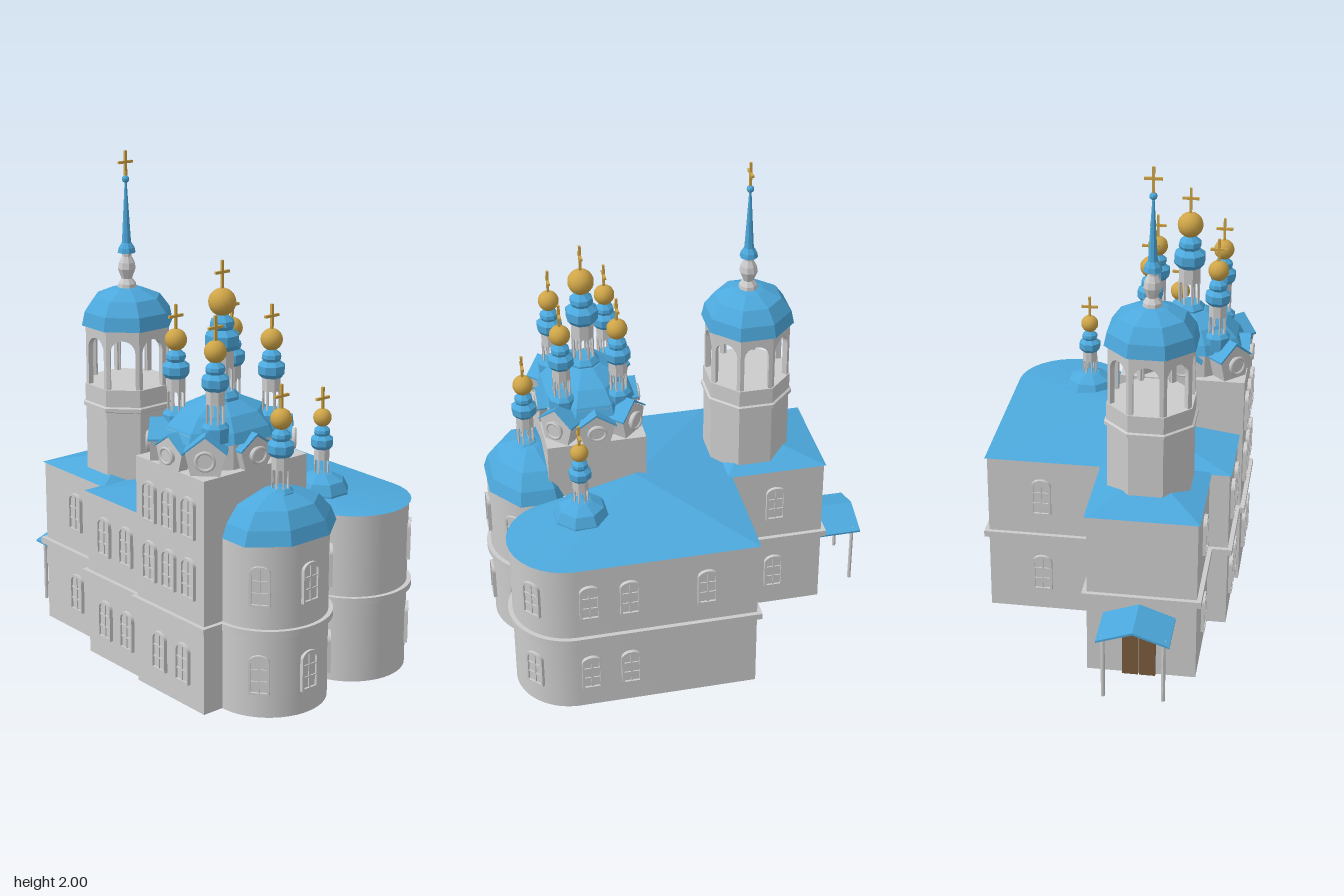
import * as THREE from 'three';
import { mergeGeometries, toCreasedNormals } from 'three/addons/utils/BufferGeometryUtils.js';

const mat = (color, flatShading = true) =>
  new THREE.MeshStandardMaterial({ color, flatShading, side: THREE.DoubleSide });
const STONE = mat(0xcccccc), WALL = mat(0xcccccc, false), BLUE = mat(0x4ca8dc);
const GOLD = mat(0xcfa548, false), BROWN = mat(0x7a5a3c);
const Q = Math.PI / 8;

function add(parent, name, geo, material, x = 0, y = 0, z = 0, ry = 0) {
  const m = new THREE.Mesh(geo, material);
  m.name = name;
  m.position.set(x, y, z);
  m.rotation.y = ry;
  parent.add(m);
  return m;
}

// Eight-sided solid of revolution, flats on the axes; radii are measured to the flats
function octagon(profile) {
  const pts = profile.map(([r, y]) => new THREE.Vector2(r / Math.cos(Q), y));
  return new THREE.LatheGeometry(pts, 8).rotateY(Q);
}

// Footprints, drawn with shape y = -z and grown outwards by o
const rect = (x0, x1, z0, z1) => o => new THREE.Shape([[x0 - o, -z1 - o], [x1 + o, -z1 - o],
  [x1 + o, -z0 + o], [x0 - o, -z0 + o]].map(p => new THREE.Vector2(...p)));
const apsed = (x0, cx, z0, z1) => o => {
  const r = (z1 - z0) / 2 + o, c = -(z0 + z1) / 2, s = new THREE.Shape();
  s.moveTo(x0 - o, c - r).lineTo(cx, c - r);
  s.absarc(cx, c, r, -Math.PI / 2, Math.PI / 2, false);
  s.lineTo(x0 - o, c + r);
  return s;
};
function slab(shape, y, h) {
  const g = new THREE.ExtrudeGeometry(shape, { depth: h, bevelEnabled: false, curveSegments: 24 });
  return toCreasedNormals(g.rotateX(-Math.PI / 2).translate(0, y, 0), 0.5);
}

// Hipped roof: a fan of triangles from the outline [x, z] to one peak
function fanRoof(outline, y, peak) {
  const v = [];
  outline.forEach(([x, z], i) => {
    const [x2, z2] = outline[(i + 1) % outline.length];
    v.push(x, y, z, x2, y, z2, ...peak);
  });
  const g = new THREE.BufferGeometry();
  g.setAttribute('position', new THREE.Float32BufferAttribute(v, 3));
  g.computeVertexNormals();
  return g;
}

function arch(w, h, rise, y0 = 0) {
  const s = new THREE.Shape();
  s.moveTo(-w / 2, y0).lineTo(w / 2, y0).lineTo(w / 2, h - rise);
  s.absellipse(0, h - rise, w / 2, rise, 0, Math.PI, false, 0);
  s.closePath();
  return s;
}

// Arched window with frame, one mullion and two transoms, facing +z
function windowGeometry() {
  const frame = arch(0.08, 0.16, 0.03);
  frame.holes.push(arch(0.062, 0.151, 0.024, 0.009));
  const bar = (w, h, y) => new THREE.BoxGeometry(w, h, 0.014).toNonIndexed().translate(0, y, 0.007);
  return mergeGeometries([
    new THREE.ExtrudeGeometry(frame, { depth: 0.018, bevelEnabled: false, curveSegments: 8 }),
    new THREE.ExtrudeGeometry(arch(0.064, 0.152, 0.025), { depth: 0.009, bevelEnabled: false, curveSegments: 8 }),
    bar(0.007, 0.145, 0.078), bar(0.062, 0.006, 0.052), bar(0.062, 0.006, 0.1)]);
}

// Ring of eight open arches
function arcade(ap, h, openW, openH, t) {
  const w = 2 * ap * Math.tan(Q), a = w * openW / 2, s = new THREE.Shape();
  s.moveTo(-w / 2, 0).lineTo(-a, 0).lineTo(-a, openH - a);
  s.absellipse(0, openH - a, a, a, Math.PI, 0, true, 0);
  s.lineTo(a, 0).lineTo(w / 2, 0).lineTo(w / 2, h).lineTo(-w / 2, h);
  const panel = new THREE.ExtrudeGeometry(s, { depth: t, bevelEnabled: false, curveSegments: 6 })
    .translate(0, 0, ap - t);
  return mergeGeometries(Array.from({ length: 8 }, (_, i) => panel.clone().rotateY(i * Math.PI / 4)));
}

function cross(parent, x, y, z, h) {
  add(parent, 'crossUpright', new THREE.BoxGeometry(0.01, h, 0.01), GOLD, x, y + h / 2, z);
  add(parent, 'crossArm', new THREE.BoxGeometry(0.01, 0.01, 0.068), GOLD, x, y + h - 0.045, z);
}

// Lantern with open arches, blue cap, gilded ball and cross; y is the ball centre
function cupola(parent, name, x, y, z, s) {
  const g = new THREE.Group();
  g.name = name;
  g.position.set(x, y, z);
  const d = new THREE.Group();
  d.scale.setScalar(s);
  g.add(d);
  add(d, 'base', octagon([[0.05, -0.34], [0.05, -0.285], [0.036, -0.27], [0, -0.27]]), BLUE);
  add(d, 'arches', arcade(0.034, 0.09, 0.66, 0.075, 0.007), STONE, 0, -0.27);
  add(d, 'drum', octagon([[0, -0.18], [0.034, -0.18], [0.034, -0.13], [0, -0.13]]), STONE);
  add(d, 'cap', octagon([[0, -0.145], [0.036, -0.145], [0.049, -0.128], [0.049, -0.098], [0.03, -0.082],
    [0.036, -0.07], [0.034, -0.056], [0.012, -0.035]]), BLUE);
  add(d, 'ball', new THREE.SphereGeometry(0.042, 16, 12), GOLD);
  cross(g, 0, 0.035 * s, 0, 0.075 + 0.055 * (s - 0.55));
  parent.add(g);
}

export function createModel() {
  const root = new THREE.Group();
  root.name = 'church';

  // Walls and the string course around them
  const blocks = [
    ['westHall', rect(-0.605, -0.19, -0.02, 0.41), 0.69],
    ['nave', rect(-0.205, 0.2, -0.1, 0.49), 0.69],
    ['backChapel', apsed(-0.205, 0.52, -0.49, -0.04), 0.69],
    ['mainTower', rect(0.14, 0.54, 0, 0.51), 0.93],
    ['apse', apsed(0.45, 0.54, -0.04, 0.42), 0.69]];
  for (const [name, foot, h] of blocks) {
    add(root, name, slab(foot(0), 0, h), WALL);
    add(root, name + 'Band', slab(foot(0.018), 0.332, 0.026), WALL);
  }

  // Hall roofs
  const arc = Array.from({ length: 17 }, (_, i) => {
    const a = Math.PI / 2 - i * Math.PI / 16;
    return [0.52 + 0.234 * Math.cos(a), -0.265 + 0.234 * Math.sin(a)];
  });
  add(root, 'naveRoof', fanRoof([[-0.213, 0.498], [0.2, 0.498], [0.2, -0.02], ...arc, [-0.213, -0.499]],
    0.692, [0.2, -0.01, 0].length ? [0.19, 0.76, -0.005] : []), BLUE);
  add(root, 'westRoof', fanRoof([[-0.613, 0.418], [-0.19, 0.418], [-0.19, -0.028], [-0.613, -0.028]],
    0.692, [-0.34, 0.765, 0.195]), BLUE);
  add(root, 'apseDome', octagon([[0.232, 0.69], [0.21, 0.745], [0.16, 0.805], [0.06, 0.845], [0, 0.86]]),
    BLUE, 0.59, 0, 0.19).scale.x = 0.78;
  add(root, 'chapelDome', octagon([[0.106, 0.69], [0.104, 0.725], [0.085, 0.765], [0.04, 0.79], [0, 0.8]]),
    BLUE, 0.44, 0, -0.175);

  // Windows: x, z, facing angle, sill heights
  const win = windowGeometry(), LOW = 0.095, MID = 0.45, TOP = 0.69, PI = Math.PI;
  const windows = [[-0.39, 0.41, 0, LOW, MID], [-0.09, 0.49, 0, LOW, MID], [0.05, 0.49, 0, LOW, MID],
    [0.28, 0.51, 0, LOW], [0.42, 0.51, 0, LOW],
    [0.225, 0.51, 0, MID, TOP], [0.34, 0.51, 0, MID, TOP], [0.455, 0.51, 0, MID, TOP],
    [0, -0.49, PI, MID], [0.31, -0.49, PI, LOW, MID], [0.47, -0.49, PI, LOW, MID],
    [-0.4, -0.02, PI, LOW, MID], [-0.205, -0.27, -PI / 2, LOW, MID]];
  const radial = (cx, cz, r, a) =>
    windows.push([cx + r * Math.cos(a), cz + r * Math.sin(a), PI / 2 - a, LOW, MID]);
  for (const a of [-0.87, 0, 0.87]) radial(0.54, 0.19, 0.226, a);
  radial(0.52, -0.265, 0.221, -0.75);
  for (const [x, z, ry, ...sills] of windows)
    for (const y of sills)
      add(root, 'window', win, STONE, x - 0.003 * Math.sin(ry), y, z - 0.003 * Math.cos(ry), ry);

  // Main tower crown: core, dome and eight gables with round plaques
  const cx = 0.34, cz = 0.255;
  add(root, 'crownCore', octagon([[0.17, 0.93], [0.17, 1.06]]), STONE, cx, 0, cz).scale.z = 1.25;
  add(root, 'mainDome', octagon([[0.185, 1.03], [0.17, 1.07], [0.13, 1.12], [0.06, 1.16], [0, 1.175]]),
    BLUE, cx, 0, cz).scale.z = 1.22;
  const poly = p => new THREE.Shape(p.map(q => new THREE.Vector2(...q)));
  const extrude = (s, depth) =>
    new THREE.ExtrudeGeometry(s, { depth, bevelEnabled: false }).translate(0, 0, -depth);
  const gable = extrude(poly([[-0.055, 0], [0.055, 0], [0.075, 0.085], [0, 0.145], [-0.075, 0.085]]), 0.1);
  const gableRoof = extrude(poly([[-0.08, 0.083], [0, 0.146], [0.08, 0.083], [0.08, 0.091],
    [0, 0.156], [-0.08, 0.091]]), 0.11);
  const plaque = new THREE.CylinderGeometry(0.035, 0.035, 0.03, 16).rotateX(PI / 2);
  const plaqueRing = new THREE.TorusGeometry(0.034, 0.007, 6, 20);
  for (let i = 0; i < 8; i++) {
    const a = i * PI / 4, diagonal = i % 2 === 1;
    const g = new THREE.Group();
    g.name = 'gable';
    const sx = Math.sign(Math.round(Math.sin(a) * 9)), sz = Math.sign(Math.round(Math.cos(a) * 9));
    g.position.set(cx + sx * (diagonal ? 0.157 : 0.2), 0.93, cz + sz * (diagonal ? 0.212 : 0.255));
    g.rotation.y = a;
    g.scale.y = diagonal ? 1 : 0.85;
    add(g, 'gableWall', gable, STONE);
    add(g, 'gableRoof', gableRoof, BLUE, 0, 0, 0.006);
    add(g, 'plaque', plaque, WALL, 0, 0.06, 0);
    add(g, 'plaqueRing', plaqueRing, WALL, 0, 0.06, 0.014);
    root.add(g);
  }

  // Cupolas
  cupola(root, 'centreCupola', 0.344, 1.525, 0.256, 1.25);
  for (const x of [0.23, 0.457])
    for (const z of [0.11, 0.385]) cupola(root, 'cornerCupola', x, 1.38, z, 1);
  cupola(root, 'apseCupola', 0.602, 1.12, 0.19, 0.98);
  cupola(root, 'chapelCupola', 0.44, 1.015, -0.175, 0.86);

  // Bell tower with open belfry, dome, baluster and spire
  const bell = new THREE.Group();
  bell.name = 'bellTower';
  bell.position.set(-0.318, 0, 0.19);
  root.add(bell);
  add(bell, 'shaft', octagon([[0.163, 0.66], [0.163, 0.975], [0.173, 0.98], [0.173, 0.995], [0.165, 1.0],
    [0.165, 1.07], [0, 1.07]]), STONE);
  add(bell, 'belfry', arcade(0.16, 0.24, 0.76, 0.2, 0.022), STONE, 0, 1.07);
  add(bell, 'belfryDome', octagon([[0.15, 1.31], [0.174, 1.31], [0.163, 1.365], [0.125, 1.42], [0.06, 1.45],
    [0, 1.465]]), BLUE);
  add(bell, 'baluster', octagon([[0.038, 1.44], [0.034, 1.47], [0.02, 1.49], [0.034, 1.53], [0.03, 1.555],
    [0.018, 1.58], [0.018, 1.6]]), STONE);
  add(bell, 'spire', octagon([[0, 1.595], [0.034, 1.595], [0.03, 1.615], [0.018, 1.635], [0.016, 1.66],
    [0.004, 1.88]]), BLUE);
  add(bell, 'spireBall', new THREE.SphereGeometry(0.015, 10, 8), BLUE, 0, 1.888);
  cross(bell, 0, 1.895, 0, 0.105);

  // Porch with gabled roof on two posts, and the double door
  const porchRoof = extrude(poly([[-0.142, 0.26], [0, 0.308], [0.142, 0.26], [0.142, 0.268],
    [0, 0.318], [-0.142, 0.268]]), 0.2);
  add(root, 'porchRoof', porchRoof, BLUE, -0.605, 0, 0.187, PI / 2);
  for (const z of [0.07, 0.304])
    add(root, 'porchPost', new THREE.CylinderGeometry(0.008, 0.008, 0.275, 8), STONE, -0.775, 0.1375, z);
  for (const z of [0.153, 0.221])
    add(root, 'doorLeaf', new THREE.BoxGeometry(0.02, 0.24, 0.064), BROWN, -0.61, 0.12, z);
  return root;
}
